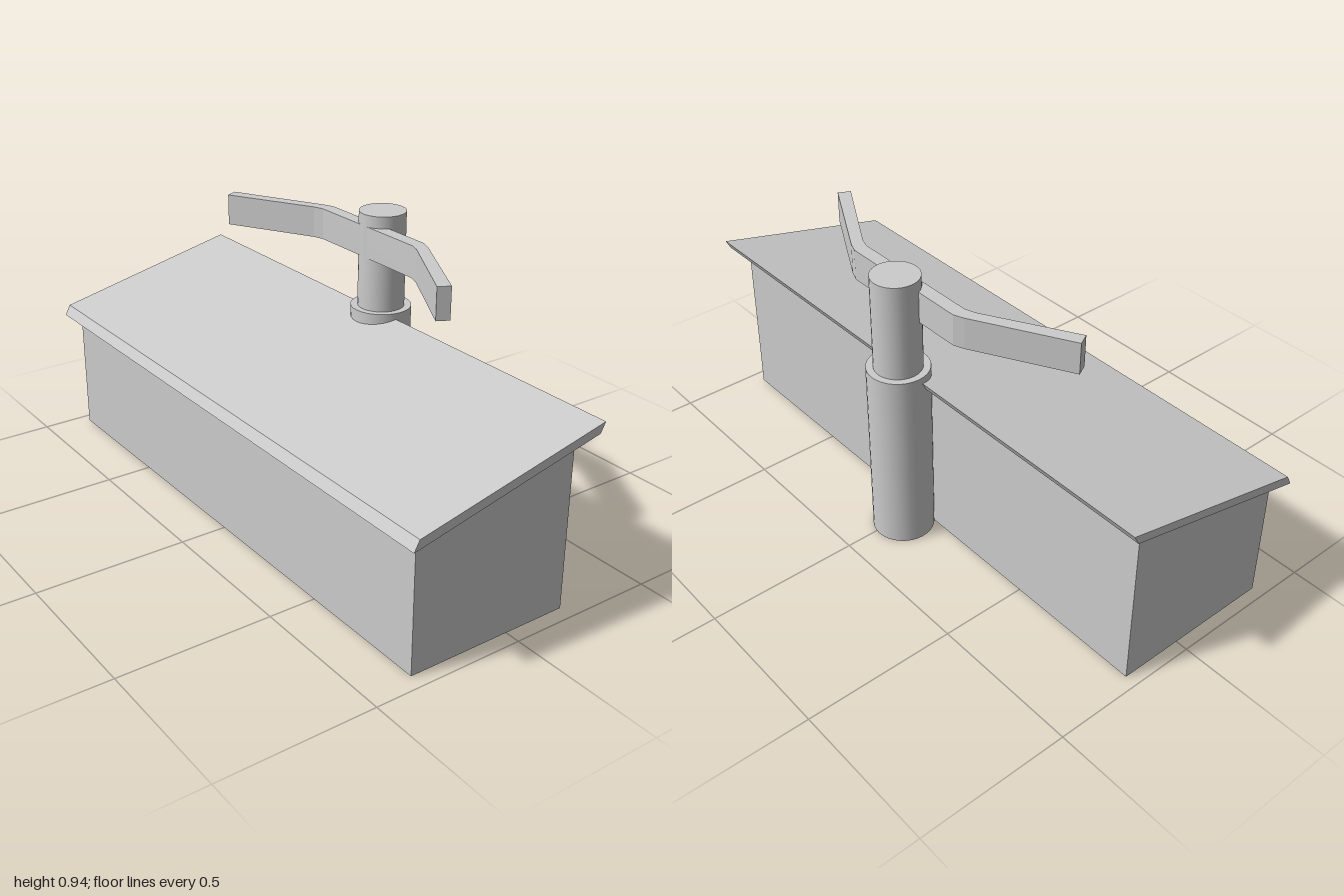
import * as THREE from 'three';

const grey = new THREE.MeshStandardMaterial({ color: 0xcccccc });

function addMesh(group, name, geometry) {
  const mesh = new THREE.Mesh(geometry, grey);
  mesh.name = name;
  group.add(mesh);
  return mesh;
}

const extrude = (points, depth) => new THREE.ExtrudeGeometry(
  new THREE.Shape(points.map(([x, y]) => new THREE.Vector2(x, y))),
  { depth, bevelEnabled: false });

// Side profile of [z, y] points, swept along x from x0 to x1
const sweepAcross = (profile, x0, x1) =>
  extrude(profile.map(([z, y]) => [-z, y]), x1 - x0).rotateY(Math.PI / 2).translate(x0, 0, 0);

// Plan outline of [x, z] points, raised from y0 to y1
const raisePlan = (plan, y0, y1) =>
  extrude(plan.map(([x, z]) => [x, -z]), y1 - y0).rotateX(-Math.PI / 2).translate(0, y0, 0);

export function createModel() {
  const model = new THREE.Group();
  model.name = 'model';

  // Box body with a sloping top
  addMesh(model, 'body', sweepAcross(
    [[0.345, 0], [0.345, 0.437], [-0.212, 0.562], [-0.212, 0]], -0.96, 0.95));

  // Overhanging slanted lid
  addMesh(model, 'lid', sweepAcross(
    [[0.39, 0.424], [0.372, 0.458], [-0.276, 0.604], [-0.259, 0.572]], -0.997, 0.997));

  // Stepped post at the back
  const post = new THREE.Group();
  post.name = 'post';
  post.position.set(-0.017, 0, -0.29);
  model.add(post);
  addMesh(post, 'lowerPost', new THREE.CylinderGeometry(0.1, 0.1, 0.625, 32)).position.y = 0.3125;
  addMesh(post, 'upperPost', new THREE.CylinderGeometry(0.077, 0.077, 0.345, 32)).position.y = 0.7725;

  // Crossbar with forward-bent ends: right half outline, mirrored
  const half = [[0.233, -0.215], [0.268, -0.203], [0.55, -0.045],
    [0.57, -0.083], [0.27, -0.246], [0.235, -0.26]];
  const mirrored = half.map(([x, z]) => [-x, z]).reverse();
  addMesh(model, 'crossbar', raisePlan([...half, ...mirrored], 0.802, 0.906)).position.x = -0.008;

  return model;
}
